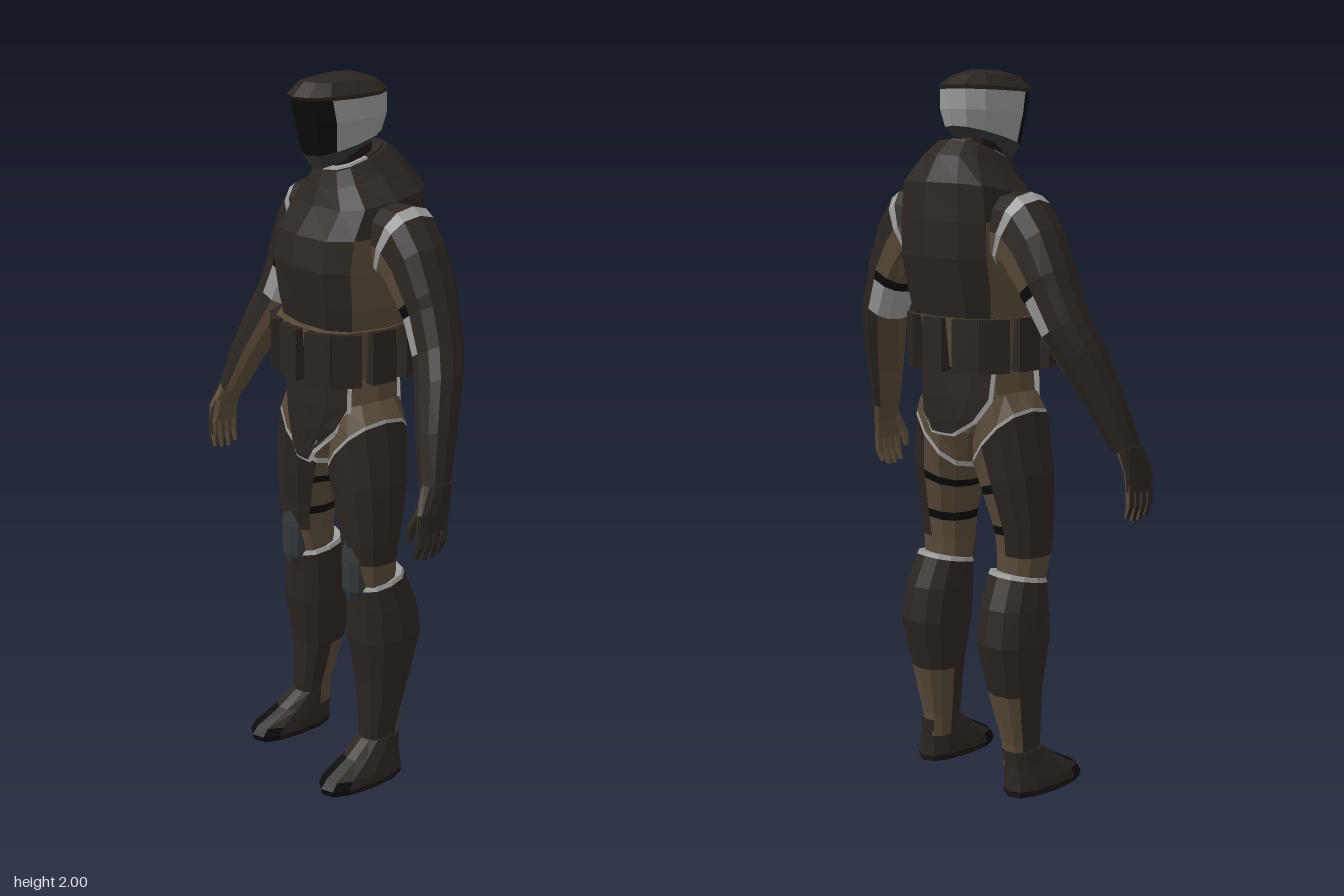
import * as THREE from 'three';

const BROWN = 0x2c2521, OLIVE = 0x584a39, BLACK = 0x0b0b0b, TRIM = 0x9a9a9a, SLATE = 0x33373a, BOOT = 0x1a1614;
const mats = {};
const mat = (color) => (mats[color] ??= new THREE.MeshStandardMaterial({
  color, flatShading: true, roughness: 0.8, side: THREE.DoubleSide }));
const rad = THREE.MathUtils.degToRad;
const spow = (v, p) => Math.sign(v) * Math.abs(v) ** p;

// Ring of points: [cx, cy, cz, rx, rz, roll in degrees, x slope, z slope]
function ring([cx, cy, cz, rx, rz, roll = 0, sx = 0, sz = 0], n, p) {
  return Array.from({ length: n }, (_, j) => {
    const a = (j / n) * Math.PI * 2;
    const u = rx * spow(Math.cos(a), p), w = rz * spow(Math.sin(a), p), t = rad(roll);
    return new THREE.Vector3(cx + u * Math.cos(t), cy + u * Math.sin(t) + u * sx + w * sz, cz + w);
  });
}

// Closed loft through rings listed from bottom to top; pick(segment, cos, sin) gives each face its colour
function loft(name, specs, pick, n = 12, p = 0.85) {
  const rings = specs.map((s) => ring(s, n, p));
  const byColor = new Map();
  const tri = (color, ...pts) => {
    if (!byColor.has(color)) byColor.set(color, []);
    pts.forEach((v) => byColor.get(color).push(v.x, v.y, v.z));
  };
  const last = rings.length - 1;
  const mid = (r) => r.reduce((s, v) => s.add(v), new THREE.Vector3()).divideScalar(n);
  const low = mid(rings[0]), high = mid(rings[last]);
  for (let j = 0; j < n; j++) {
    const k = (j + 1) % n, a = ((j + 0.5) / n) * Math.PI * 2, c = Math.cos(a), s = Math.sin(a);
    for (let i = 0; i < last; i++) {
      const color = pick(i, c, s), [A, B] = [rings[i], rings[i + 1]];
      tri(color, A[j], B[j], B[k]);
      tri(color, A[j], B[k], A[k]);
    }
    tri(pick(0, c, s), low, rings[0][j], rings[0][k]);
    tri(pick(last - 1, c, s), high, rings[last][k], rings[last][j]);
  }
  const group = new THREE.Group();
  group.name = name;
  for (const [color, pos] of byColor) {
    const g = new THREE.BufferGeometry();
    g.setAttribute('position', new THREE.Float32BufferAttribute(pos, 3));
    g.computeVertexNormals();
    const m = new THREE.Mesh(g, mat(color));
    m.name = name;
    group.add(m);
  }
  return group;
}

// Copy of a limb reflected in x, with its winding corrected
function mirrored(limb, name) {
  const copy = limb.clone();
  copy.name = name;
  copy.traverse((o) => {
    if (!o.isMesh) return;
    o.geometry = o.geometry.clone().scale(-1, 1, 1);
    const a = o.geometry.attributes.position.array;
    for (let t = 0; t < a.length; t += 9)
      for (let q = 0; q < 3; q++) [a[t + q], a[t + 6 + q]] = [a[t + 6 + q], a[t + q]];
    o.geometry.computeVertexNormals();
  });
  return copy;
}

// Curved hanging panel from rows of [y, half width, z]
function panel(name, rows, dir, color, grow) {
  const g = new THREE.PlaneGeometry(2, 1, 6, rows.length - 1), pos = g.attributes.position;
  for (let i = 0; i < pos.count; i++) {
    const [y, w, z] = rows[Math.floor(i / 7)], x = pos.getX(i) * (w + grow);
    pos.setXYZ(i, x, y - grow, z - dir * (3.2 * x * x + grow * 0.4));
  }
  g.computeVertexNormals();
  const m = new THREE.Mesh(g, mat(color));
  m.name = name;
  return m;
}

function makeHead() {
  const g = new THREE.Group();
  g.name = 'head';
  g.add(loft('neck', [[0, 1.66, -0.03, 0.07, 0.07], [0, 1.85, 0, 0.058, 0.065]], () => BOOT));
  g.add(loft('helmet', [
    [0, 1.79, 0.015, 0.052, 0.085, 0, 0, -0.35],
    [0, 1.825, 0.01, 0.078, 0.112, 0, 0, -0.25],
    [0, 1.89, 0.012, 0.092, 0.126, 0, 0, -0.05],
    [0, 1.945, 0.018, 0.09, 0.134, 0, 0, -0.03],
    [0, 1.955, 0.021, 0.09, 0.142, 0, 0, -0.03],
    [0, 1.985, 0.022, 0.066, 0.105],
    [0, 2, 0.015, 0.025, 0.045],
  ], (i, c, s) => {
    if (i > 2) return BROWN;
    if (s > 0.6 && i > 0) return BLACK;
    return i ? TRIM : SLATE;
  }));
  return g;
}

function makeTorso() {
  const g = new THREE.Group();
  g.name = 'torso';
  // Padded vest with open sides and a raised rear collar
  g.add(loft('vest', [
    [0, 1.32, -0.01, 0.165, 0.15],
    [0, 1.41, -0.012, 0.18, 0.168],
    [0, 1.51, -0.016, 0.183, 0.188],
    [0, 1.6, -0.024, 0.182, 0.18, 0, 0, -0.05],
    [0, 1.685, -0.047, 0.172, 0.15, 0, 0, -0.15],
    [0, 1.745, -0.035, 0.115, 0.12, 0, 0, -0.28],
    [0, 1.785, -0.02, 0.085, 0.092, 0, 0, -0.35],
  ], (i, c) => (Math.abs(c) > 0.9 && i < 3 ? OLIVE : BROWN), 12, 0.7));
  g.add(loft('collarTrim', [
    [0, 1.775, -0.02, 0.082, 0.09, 0, 0, -0.35], [0, 1.79, -0.018, 0.076, 0.084, 0, 0, -0.35],
  ], (i, c, s) => (s > 0 ? TRIM : BROWN)));
  // Hips under the belt
  g.add(loft('hips', [
    [0, 0.95, -0.01, 0.045, 0.07], [0, 1.03, -0.005, 0.12, 0.115],
    [0, 1.12, 0, 0.165, 0.128], [0, 1.22, 0, 0.148, 0.135], [0, 1.36, 0, 0.16, 0.145],
  ], () => OLIVE));
  g.add(loft('belt', [[0, 1.215, 0.003, 0.168, 0.158], [0, 1.35, 0, 0.178, 0.17]], () => OLIVE, 12, 0.75));
  // Pouches all round the belt
  for (let k = 0; k < 12; k++) {
    const a = (k / 12) * Math.PI * 2, s = Math.sin(a), c = Math.cos(a);
    const pouch = new THREE.Mesh(new THREE.BoxGeometry(0.076, 0.145, 0.034), mat(BROWN));
    pouch.name = 'pouch';
    pouch.position.set(0.174 * spow(s, 0.75), 1.276, 0.004 + 0.166 * spow(c, 0.75));
    pouch.rotation.y = a;
    g.add(pouch);
  }
  // Front and rear hip panels with a pale edge
  const front = [[1.22, 0.142, 0.155], [1.13, 0.142, 0.158], [1.07, 0.115, 0.156], [1, 0.05, 0.15], [0.965, 0.028, 0.146]];
  const back = [[1.22, 0.14, -0.15], [1.13, 0.135, -0.155], [1.07, 0.1, -0.154], [1.03, 0.04, -0.15]];
  for (const [color, grow] of [[BROWN, 0], [TRIM, 0.007]]) {
    g.add(panel('frontHipPanel', front, 1, color, grow), panel('rearHipPanel', back, -1, color, grow));
  }
  return g;
}

function makeArm() {
  const g = new THREE.Group();
  g.name = 'leftArm';
  g.add(loft('sleeve', [
    [0.49, 1.02, 0.066, 0.033, 0.042, 12],
    [0.445, 1.15, 0.028, 0.05, 0.054, 18],
    [0.4, 1.265, -0.012, 0.064, 0.062, 24],
    [0.365, 1.335, -0.035, 0.066, 0.066, 28],
    [0.32, 1.425, -0.045, 0.074, 0.07, 30],
    [0.306, 1.452, -0.046, 0.079, 0.075, 32],
    [0.255, 1.53, -0.046, 0.097, 0.08, 42],
    [0.215, 1.57, -0.045, 0.11, 0.085, 60],
    [0.197, 1.579, -0.044, 0.114, 0.086, 68],
    [0.14, 1.585, -0.04, 0.1, 0.08, 78],
  ], (i, c) => {
    if (i === 7) return TRIM;
    if (c > (i < 3 ? -0.4 : 0.1)) return BROWN;
    return i === 3 ? TRIM : i === 4 ? BLACK : OLIVE;
  }));
  // Hand with four fingers and a thumb
  const skin = (i, c) => (c > 0 ? BROWN : OLIVE);
  g.add(loft('palm', [
    [0.512, 0.915, 0.09, 0.015, 0.048], [0.511, 0.965, 0.087, 0.019, 0.05], [0.495, 1.035, 0.064, 0.03, 0.041],
  ], skin));
  for (let k = 0; k < 4; k++) {
    const z = 0.054 + k * 0.024, drop = [0.012, 0, 0, 0.008][k];
    g.add(loft('finger', [
      [0.499, 0.832 + drop, z + 0.004, 0.007, 0.007], [0.512, 0.875, z + 0.002, 0.011, 0.011],
      [0.513, 0.93, z, 0.012, 0.012],
    ], skin, 6));
  }
  g.add(loft('thumb', [
    [0.482, 0.885, 0.138, 0.008, 0.008], [0.488, 0.925, 0.136, 0.012, 0.012], [0.502, 0.985, 0.11, 0.014, 0.016],
  ], skin, 6));
  return g;
}

function makeLeg() {
  const g = new THREE.Group();
  g.name = 'leftLeg';
  // Thigh plate with straps over the inner rear and a slanted pale rim
  g.add(loft('thigh', [
    [0.15, 0.6, 0.012, 0.068, 0.06],
    [0.153, 0.69, 0.022, 0.076, 0.07],
    [0.155, 0.75, 0.022, 0.081, 0.078, 0, 0.1],
    [0.153, 0.775, 0.02, 0.083, 0.081, 0, 0.1],
    [0.141, 0.87, 0.014, 0.093, 0.098, 0, 0.25],
    [0.138, 0.895, 0.012, 0.095, 0.102, 0, 0.3],
    [0.117, 1, 0.006, 0.086, 0.113, 0, 1.1],
    [0.116, 1.012, 0.006, 0.084, 0.111, 0, 1.1],
    [0.1, 1.12, 0, 0.062, 0.1, 0, 0.4],
  ], (i, c, s) => {
    if (i === 6) return TRIM;
    if (i === 7) return OLIVE;
    if (!(c < -0.9 || (c < -0.2 && s < 0)) && i > 0) return BROWN;
    return i === 2 || i === 4 ? BLACK : OLIVE;
  }));
  g.add(loft('kneePad', [
    [0.15, 0.57, 0.05, 0.026, 0.042], [0.15, 0.605, 0.055, 0.046, 0.05],
    [0.15, 0.7, 0.055, 0.05, 0.05], [0.15, 0.752, 0.06, 0.036, 0.036],
  ], () => SLATE, 10));
  g.add(loft('shin', [
    [0.17, 0.08, 0, 0.042, 0.054], [0.168, 0.15, 0, 0.046, 0.058],
    [0.162, 0.3, -0.018, 0.071, 0.076], [0.16, 0.45, -0.024, 0.09, 0.106],
    [0.155, 0.55, -0.016, 0.087, 0.097], [0.15, 0.62, 0.002, 0.08, 0.08, 0, 0, -0.2],
    [0.15, 0.632, 0.002, 0.075, 0.075, 0, 0, -0.2],
  ], (i, c, s) => {
    if (i === 5) return TRIM;
    return i < 2 && s < -0.2 && c < 0.8 ? OLIVE : BROWN;
  }));
  // Boot with a dark toe cap
  g.add(loft('boot', [
    [0.183, 0, 0.072, 0.058, 0.135], [0.183, 0.018, 0.073, 0.062, 0.138],
    [0.182, 0.042, 0.066, 0.06, 0.128], [0.177, 0.085, 0.03, 0.052, 0.088],
    [0.172, 0.13, 0, 0.046, 0.06],
  ], (i, c, s) => (i === 0 || (i === 1 && s > 0.4) || (i === 2 && s > 0.9) ? (s > 0.4 ? BLACK : BOOT) : BROWN)));
  return g;
}

export function createModel() {
  const model = new THREE.Group();
  model.name = 'armouredFigure';
  const arm = makeArm(), leg = makeLeg();
  model.add(makeHead(), makeTorso(), arm, leg, mirrored(arm, 'rightArm'), mirrored(leg, 'rightLeg'));
  return model;
}
